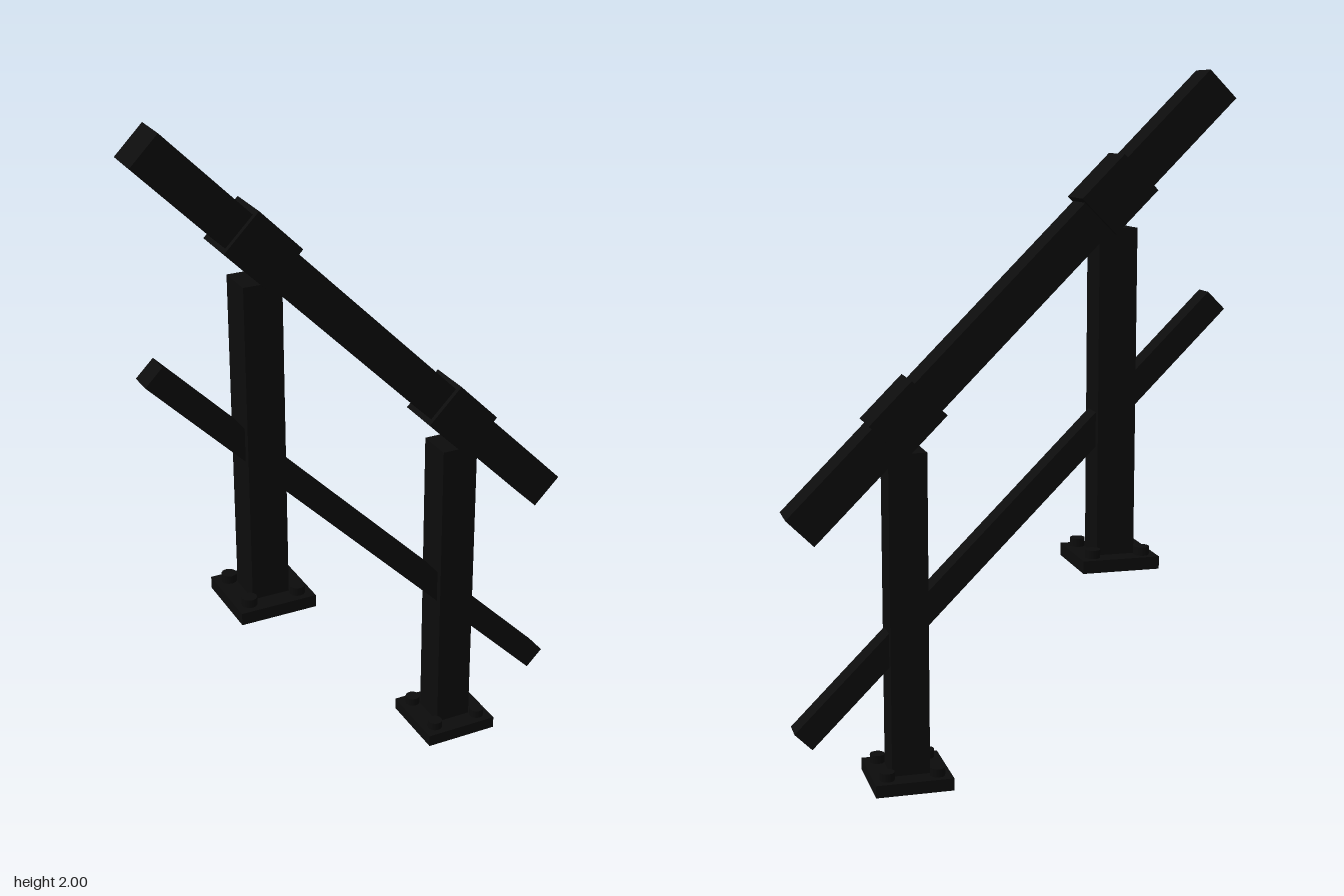
import * as THREE from 'three';

export function createModel() {
  const model = new THREE.Group();
  model.name = 'stairHandrail';
  const black = new THREE.MeshStandardMaterial({ color: 0x0c0c0c });
  black.name = 'black metal';

  const add = (parent, name, geometry, x, y, z = 0) => {
    const mesh = new THREE.Mesh(geometry, black);
    mesh.name = name;
    mesh.position.set(x, y, z);
    parent.add(mesh);
    return mesh;
  };
  // Square bar sloping down towards +x at 45 degrees
  const sloped = (parent, name, length, side, x, y) => {
    const bar = add(parent, name, new THREE.BoxGeometry(length, side, side), x, y);
    bar.rotation.z = -Math.PI / 4;
  };

  // Handrail and thinner lower rail
  sloped(model, 'handrail', 1.704, 0.11, 0, 1.36);
  sloped(model, 'lowerRail', 1.704, 0.07, 0, 0.757);

  // Two identical posts, one step apart
  for (const [name, x, y] of [['upperPost', -0.301, 0.605], ['lowerPost', 0.301, 0]]) {
    const post = new THREE.Group();
    post.name = name;
    post.position.set(x, y, 0);
    model.add(post);

    add(post, 'basePlate', new THREE.BoxGeometry(0.225, 0.036, 0.225), 0, 0.018);
    add(post, 'upright', new THREE.BoxGeometry(0.11, 0.93, 0.11), 0, 0.5);

    // Bolt heads at the plate corners
    const bolt = new THREE.CylinderGeometry(0.022, 0.022, 0.03, 12);
    for (const sx of [-1, 1])
      for (const sz of [-1, 1]) add(post, 'bolt', bolt, sx * 0.073, 0.045, sz * 0.073);

    // Sleeve clamped round the handrail
    const sleeve = add(post, 'railSleeve', new THREE.BoxGeometry(0.17, 0.14, 0.138), 0, 1.058);
    sleeve.rotation.z = -Math.PI / 4;
  }
  return model;
}
